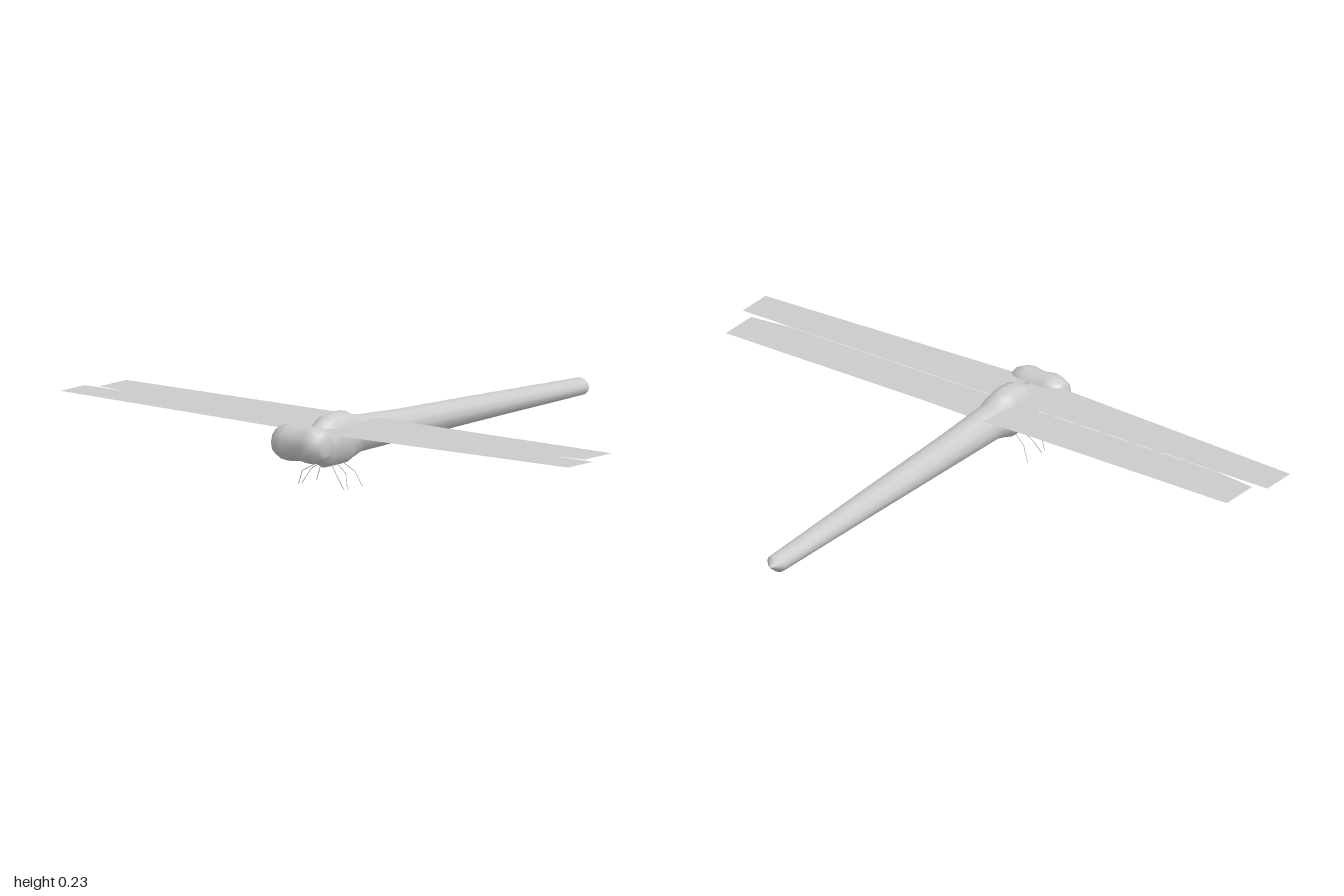
import * as THREE from 'three';

const grey = new THREE.MeshStandardMaterial({ color: 0xcccccc });
const thin = new THREE.MeshStandardMaterial({ color: 0xcccccc, side: THREE.DoubleSide });

function add(parent, name, geometry, material = grey) {
  const mesh = new THREE.Mesh(geometry, material);
  mesh.name = name;
  parent.add(mesh);
  return mesh;
}

// Skin over oval rings, front to back: [z, bottom, top, halfWidth]
function loft(sections, sides = 12) {
  const pos = [], index = [];
  sections.forEach(([z, bottom, top, w], i) => {
    for (let j = 0; j < sides; j++) {
      const a = (j / sides) * Math.PI * 2;
      pos.push(w * Math.cos(a), (bottom + top) / 2 + ((top - bottom) / 2) * Math.sin(a), z);
      if (i === sections.length - 1) continue;
      const k = (j + 1) % sides, r = i * sides, n = r + sides;
      index.push(r + j, n + j, r + k, r + k, n + j, n + k);
    }
  });
  const g = new THREE.BufferGeometry();
  g.setAttribute('position', new THREE.Float32BufferAttribute(pos, 3));
  g.setIndex(index);
  g.computeVertexNormals();
  return g;
}

// Flat horizontal wing from an outline of [x, z] points
function wing(points, side) {
  const shape = new THREE.Shape(points.map(([x, z]) => new THREE.Vector2(x * side, -z)));
  return new THREE.ShapeGeometry(shape).rotateX(-Math.PI / 2);
}

export function createModel() {
  const model = new THREE.Group();
  model.name = 'dragonfly';

  // Neck and thorax run into the long tail
  add(model, 'body', loft([
    [0.66, 0.1, 0.185, 0.035],
    [0.615, 0.083, 0.19, 0.042],
    [0.575, 0.062, 0.217, 0.054],
    [0.555, 0.06, 0.224, 0.06],
    [0.49, 0.06, 0.23, 0.062],
    [0.46, 0.072, 0.222, 0.06],
    [0.42, 0.085, 0.204, 0.057],
    [0.2, 0.088, 0.19, 0.053],
    [-0.2, 0.093, 0.174, 0.046],
    [-0.7, 0.097, 0.152, 0.035],
    [-0.735, 0.125, 0.126, 0.001],
  ]));

  // Wide head with an eye bulge on each side
  const profile = [[0, -0.1], [0.028, -0.1], [0.045, -0.088], [0.057, -0.062],
    [0.06, -0.04], [0.054, 0], [0.06, 0.04], [0.057, 0.062], [0.045, 0.088], [0.028, 0.1], [0, 0.1]];
  const head = add(model, 'head', new THREE.LatheGeometry(profile.map(p => new THREE.Vector2(...p)), 12));
  head.rotation.z = -Math.PI / 2;
  head.position.set(0, 0.152, 0.675);

  const foreOutline = [[0.02, 0.66], [0.1, 0.658], [1, 0.615], [1, 0.495], [0.02, 0.495]];
  const hindOutline = [[0.02, 0.495], [0.81, 0.495], [0.955, 0.478], [0.955, 0.345], [0.2, 0.345], [0.02, 0.34]];

  for (const side of [1, -1]) {
    const label = side > 0 ? 'left' : 'right';
    add(model, label + 'Forewing', wing(foreOutline, side), thin).position.y = 0.188;
    add(model, label + 'Hindwing', wing(hindOutline, side), thin).position.y = 0.187;

    // Three hair-thin bent legs: hip z, knee z, foot z
    [[0.565, 0.59, 0.58], [0.54, 0.545, 0.565], [0.51, 0.5, 0.49]].forEach(([hip, knee, foot], i) => {
      const leg = new THREE.Group();
      leg.name = label + 'Leg' + (i + 1);
      const joints = [[0.03, 0.072, hip], [0.068, 0.047, knee], [0.09, 0.001, foot]]
        .map(([x, y, z]) => new THREE.Vector3(x * side, y, z));
      for (let s = 0; s < 2; s++) {
        const line = new THREE.LineCurve3(joints[s], joints[s + 1]);
        add(leg, s ? 'shin' : 'thigh', new THREE.TubeGeometry(line, 1, 0.0015, 4), thin);
      }
      model.add(leg);
    });
  }
  return model;
}
